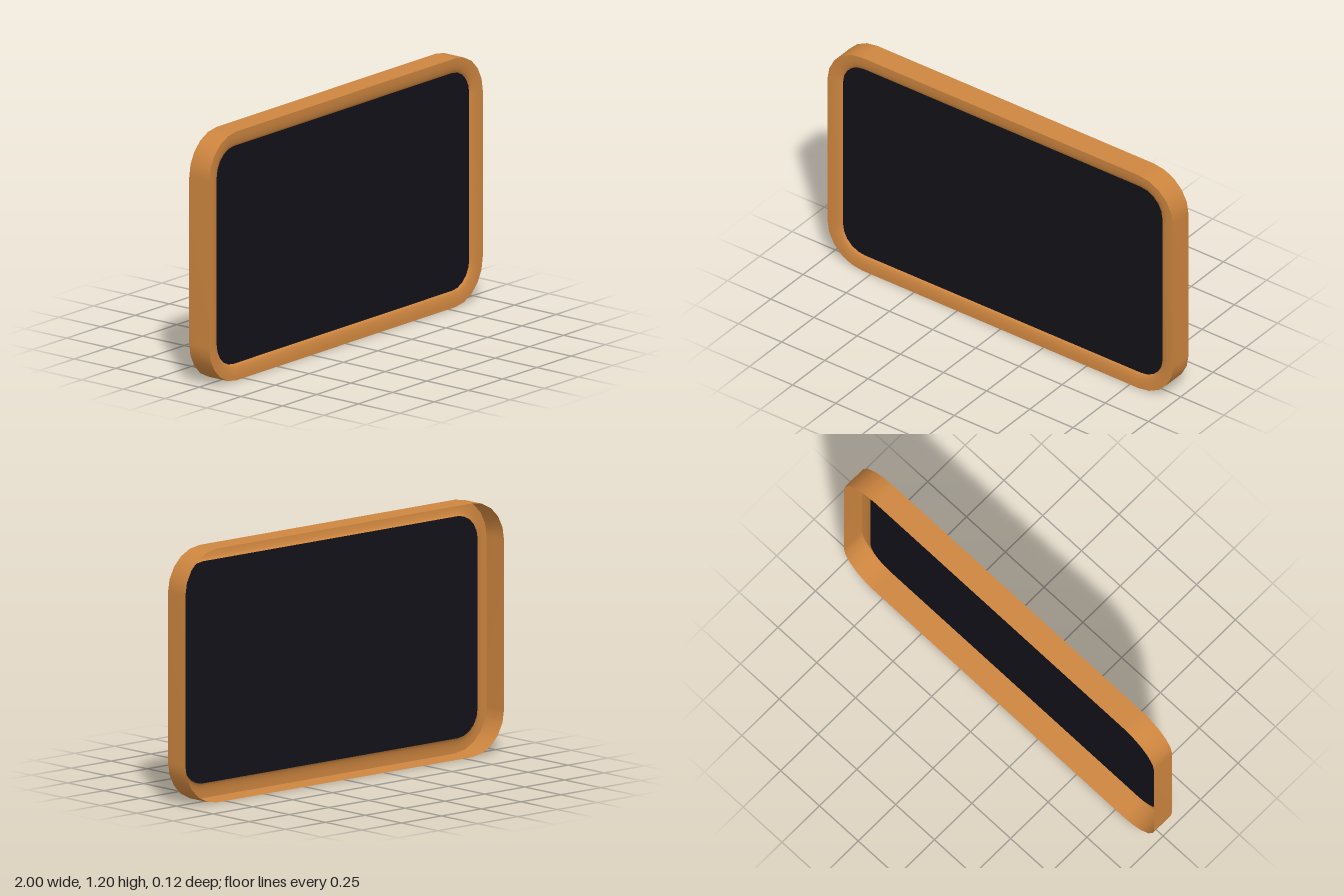
import * as THREE from 'three';

const W = 1, H = 0.6, R = 0.2;        // half width, half height, corner radius
const DEPTH = 0.06;                   // half depth of the frame
const INSET = 0.075, DROP = 0.02;     // lip width and panel recess
const CORNER_STEPS = 5, LIP_STEPS = 6;

// Rounded rectangle outline, counter-clockwise from the front, moved in by inset
function outline(inset) {
  const pts = [];
  const r = R - inset;
  const centres = [[1, 1], [-1, 1], [-1, -1], [1, -1]];
  centres.forEach(([sx, sy], q) => {
    for (let i = 0; i <= CORNER_STEPS; i++) {
      const a = (q + i / CORNER_STEPS) * Math.PI / 2;
      pts.push(new THREE.Vector2(
        sx * (W - R) + r * Math.cos(a),
        H + sy * (H - R) + r * Math.sin(a)));
    }
  });
  return pts;
}

// Open surface through a list of { inset, z } outlines
function loft(rows) {
  const pos = [], index = [];
  const n = outline(0).length;
  for (const { inset, z } of rows) {
    for (const p of outline(inset)) pos.push(p.x, p.y, z);
  }
  for (let j = 0; j < rows.length - 1; j++) {
    for (let i = 0; i < n; i++) {
      const k = (i + 1) % n;
      const a = j * n + i, b = j * n + k, c = a + n, d = b + n;
      index.push(a, b, d, a, d, c);
    }
  }
  const g = new THREE.BufferGeometry();
  g.setAttribute('position', new THREE.Float32BufferAttribute(pos, 3));
  g.setIndex(index);
  g.computeVertexNormals();
  return g;
}

export function createModel() {
  const group = new THREE.Group();
  group.name = 'framedPanel';
  const frameMat = new THREE.MeshStandardMaterial({ color: 0xcd853f, side: THREE.DoubleSide });
  const panelMat = new THREE.MeshStandardMaterial({ color: 0x111118, side: THREE.DoubleSide });

  const add = (name, geometry, material) => {
    const mesh = new THREE.Mesh(geometry, material);
    mesh.name = name;
    group.add(mesh);
    return mesh;
  };

  // Outer wall, open at the back
  add('frameWall', loft([{ inset: 0, z: -DEPTH }, { inset: 0, z: DEPTH }]), frameMat);

  // Front lip rolling in to the panel
  const lipRows = [];
  for (let i = 0; i <= LIP_STEPS; i++) {
    const a = i / LIP_STEPS * Math.PI / 2;
    lipRows.push({ inset: INSET * Math.sin(a), z: DEPTH - DROP * (1 - Math.cos(a)) });
  }
  add('frameLip', loft(lipRows), frameMat);

  // Dark sheet inside the lip
  const panel = add('panel', new THREE.ShapeGeometry(new THREE.Shape(outline(INSET))), panelMat);
  panel.position.z = DEPTH - DROP;

  return group;
}
